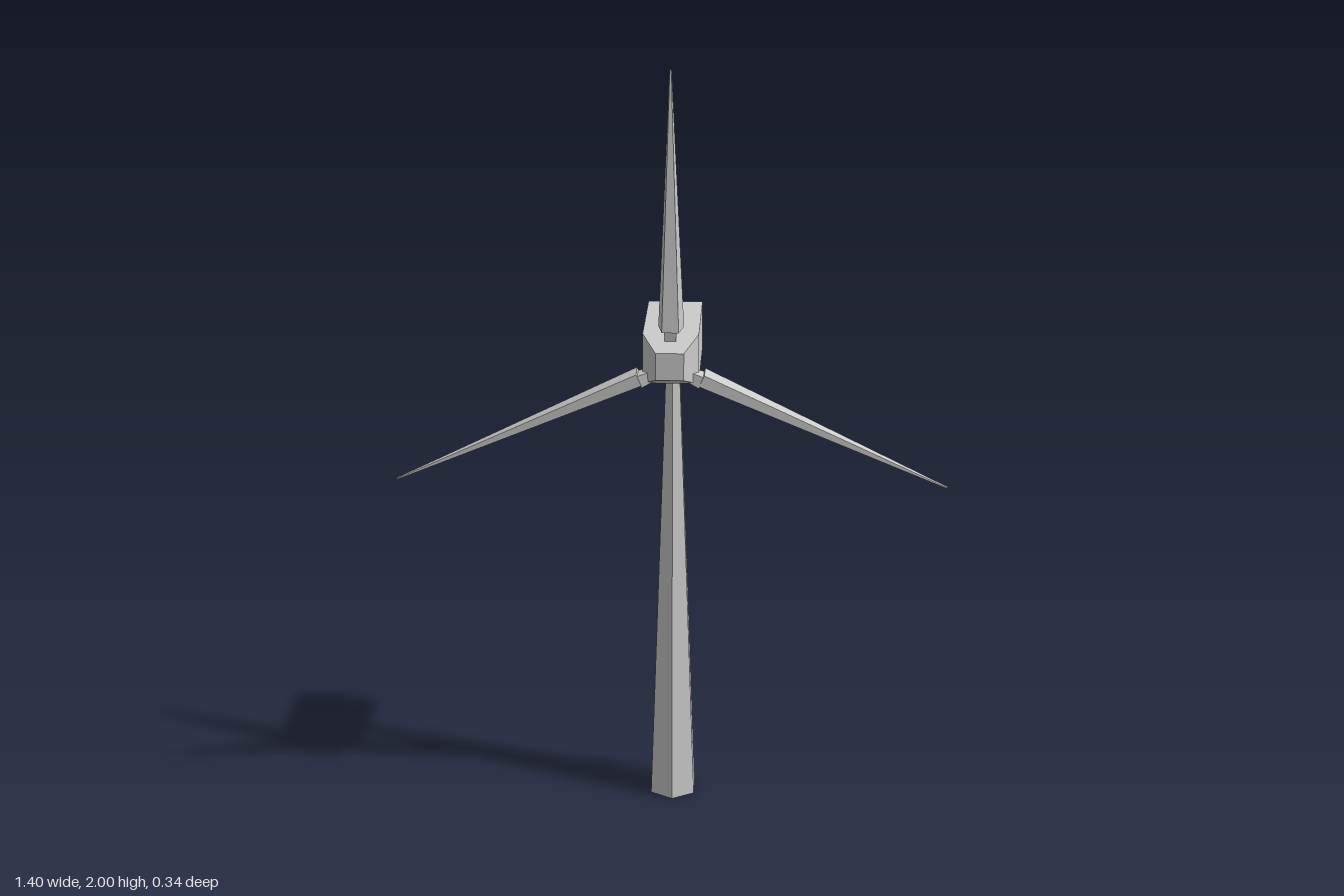
import * as THREE from 'three';

const material = new THREE.MeshStandardMaterial({ color: 0xcccccc, flatShading: true, side: THREE.DoubleSide });

// Unit box whose corners are moved by a rule (v is each vertex, from -0.5 to 0.5)
function shapedBox(name, rule, depthSegments = 1) {
  const geometry = new THREE.BoxGeometry(1, 1, 1, 1, 1, depthSegments);
  const pos = geometry.attributes.position;
  const v = new THREE.Vector3();
  for (let i = 0; i < pos.count; i++) {
    rule(v.fromBufferAttribute(pos, i));
    pos.setXYZ(i, v.x, v.y, v.z);
  }
  geometry.computeVertexNormals();
  const mesh = new THREE.Mesh(geometry, material);
  mesh.name = name;
  return mesh;
}

// Blade along +y from its root; the front face is narrower than the back
function createBlade(name, length, back, frontMin, frontMax) {
  const blade = new THREE.Group();
  blade.name = name;
  blade.add(shapedBox('bladeBody', (v) => {
    const tip = v.y > 0;
    const x = v.z > 0 ? (v.x < 0 ? frontMin : frontMax) : Math.sign(v.x) * back;
    const z = v.z > 0 ? 0.028 : -0.028;
    v.set(x * (tip ? 0.08 : 1), tip ? length : 0, tip ? z * 0.14 + 0.004 : z);
  }));
  // Short neck that flares towards the blade root
  blade.add(shapedBox('bladeNeck', (v) => {
    const s = v.y > 0 ? 1 : 0.8;
    v.set(v.x * 0.032 * s, v.y > 0 ? 0.002 : -0.035, v.z * 0.05 * s);
  }));
  return blade;
}

export function createModel() {
  const model = new THREE.Group();
  model.name = 'windTurbine';

  // Six-sided tapered tower, open at the base
  const tower = new THREE.Mesh(new THREE.CylinderGeometry(0.02, 0.067, 1.212, 6, 1, true), material);
  tower.name = 'tower';
  tower.position.set(0, 0.606, -0.018);
  model.add(tower);

  // Housing: a box with a tapered nose
  const housing = shapedBox('housing', (v) => {
    const nose = v.z > 0.25;
    const z = nose ? 0.17 : v.z < -0.25 ? -0.17 : 0.105;
    v.set(v.x * (nose ? 0.07 : 0.14), v.y * (nose ? 0.07 : 0.13), z);
  }, 2);
  housing.position.y = 1.275;
  model.add(housing);

  // Upright blade
  const top = createBlade('topBlade', 0.648, 0.032, -0.021, 0.021);
  top.position.set(0, 1.352, 0.109);
  model.add(top);

  // Two lower blades, mirrored
  for (const side of [1, -1]) {
    const front = side > 0 ? [-0.022, 0.01] : [-0.01, 0.022];
    const blade = createBlade(side > 0 ? 'leftBlade' : 'rightBlade', 0.682, 0.024, ...front);
    blade.position.set(side * 0.076, 1.222, 0.109);
    blade.rotation.z = -side * THREE.MathUtils.degToRad(114);
    model.add(blade);
  }
  return model;
}
